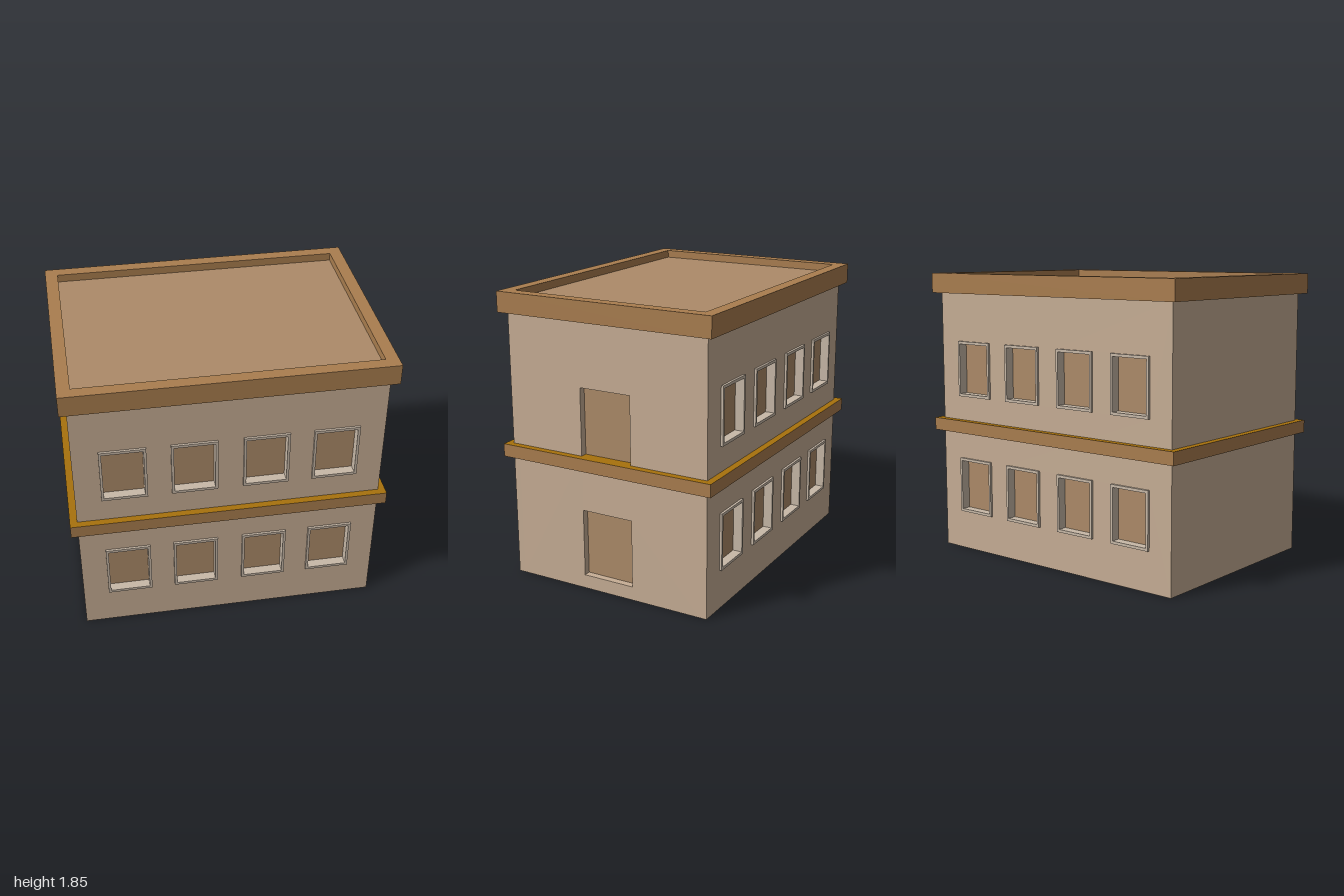
import * as THREE from 'three';

const mat = (name, color) => Object.assign(new THREE.MeshStandardMaterial({ color }), { name });

// Rectangle outline centred on (cx, cy)
function rect(cx, cy, w, h, Type = THREE.Shape) {
  const p = new Type();
  p.moveTo(cx - w / 2, cy - h / 2);
  p.lineTo(cx + w / 2, cy - h / 2);
  p.lineTo(cx + w / 2, cy + h / 2);
  p.lineTo(cx - w / 2, cy + h / 2);
  p.closePath();
  return p;
}

// Flat slab with rectangular openings, extruded along +z from 0; each hole is [cx, cy, w, h]
function slab(outer, holes, depth) {
  const shape = rect(...outer);
  shape.holes = holes.map((h) => rect(...h, THREE.Path));
  return new THREE.ExtrudeGeometry(shape, { depth, bevelEnabled: false });
}

export function createModel() {
  const wall = mat('wall plaster', 0xc7ae95);
  const trim = mat('brown trim', 0xaa7e4f);
  const ledge = mat('golden ledge', 0xa8720c);
  const infill = mat('window, door and roof infill', 0xad8b69);
  const frame = mat('window frame', 0xc8b9a8);

  const X = 0.955, Z = 0.692, H = 1.725, T = 0.045; // body half sizes, height, recess depth
  const OX = 1, OZ = 0.737; // overhang half sizes
  const model = new THREE.Group();
  model.name = 'building';

  const add = (parent, name, geometry, material, x = 0, y = 0, z = 0) => {
    const mesh = new THREE.Mesh(geometry, material);
    mesh.name = name;
    mesh.position.set(x, y, z);
    parent.add(mesh);
    return mesh;
  };

  // Window openings: four per storey, [cx, cy, w, h]
  const windows = [];
  for (const cy of [0.438, 1.222])
    for (const cx of [-0.653, -0.221, 0.221, 0.653]) windows.push([cx, cy, 0.284, 0.366]);

  // Front and back facades with framed, recessed windows
  for (const [side, turn] of [['front', 0], ['back', Math.PI]]) {
    const facade = new THREE.Group();
    facade.name = side + 'Facade';
    facade.rotation.y = turn;
    model.add(facade);
    add(facade, side + 'Wall', slab([0, H / 2, X * 2, H], windows, T), wall, 0, 0, Z - T);
    for (const [cx, cy, w, h] of windows) {
      const frameGeo = slab([0, 0, w, h], [[0, 0, w - 0.032, h - 0.036]], T + 0.015);
      add(facade, 'windowFrame', frameGeo, frame, cx, cy, Z - T);
      add(facade, 'windowPane', new THREE.BoxGeometry(w, h, 0.008), infill, cx, cy, Z - T - 0.004);
    }
  }

  // Side walls; the right one has a recessed door on each storey
  const doors = [[0, 0.307, 0.35, 0.436], [0, 1.093, 0.35, 0.436]];
  const sideWidth = (Z - T) * 2;
  for (const [side, sign, holes] of [['right', 1, doors], ['left', -1, []]]) {
    const facade = new THREE.Group();
    facade.name = side + 'Facade';
    facade.rotation.y = sign * Math.PI / 2;
    model.add(facade);
    add(facade, side + 'Wall', slab([0, H / 2, sideWidth, H], holes, T), wall, 0, 0, X - T);
    for (const [cx, cy, w, h] of holes)
      add(facade, 'door', new THREE.BoxGeometry(w, h, 0.008), infill, cx, cy, X - T - 0.004);
  }

  // Underside of the building
  add(model, 'groundSlab', new THREE.BoxGeometry((X - T) * 2, 0.02, sideWidth), wall, 0, 0.01, 0);

  // Ledge between the storeys: brown edge, golden top and bottom
  add(model, 'storeyLedge', new THREE.BoxGeometry(OX * 2, 0.082, OZ * 2),
    [trim, trim, ledge, ledge, trim, trim], 0, 0.838, 0);

  // Parapet ring and the sunken roof deck inside it
  const parapet = slab([0, 0, OX * 2, OZ * 2], [[0, 0, 1.84, 1.314]], 0.13);
  parapet.rotateX(-Math.PI / 2);
  add(model, 'parapet', parapet, trim, 0, 1.72, 0);
  add(model, 'roofDeck', new THREE.BoxGeometry(1.84, 0.07, 1.314), infill, 0, 1.765, 0);

  return model;
}
